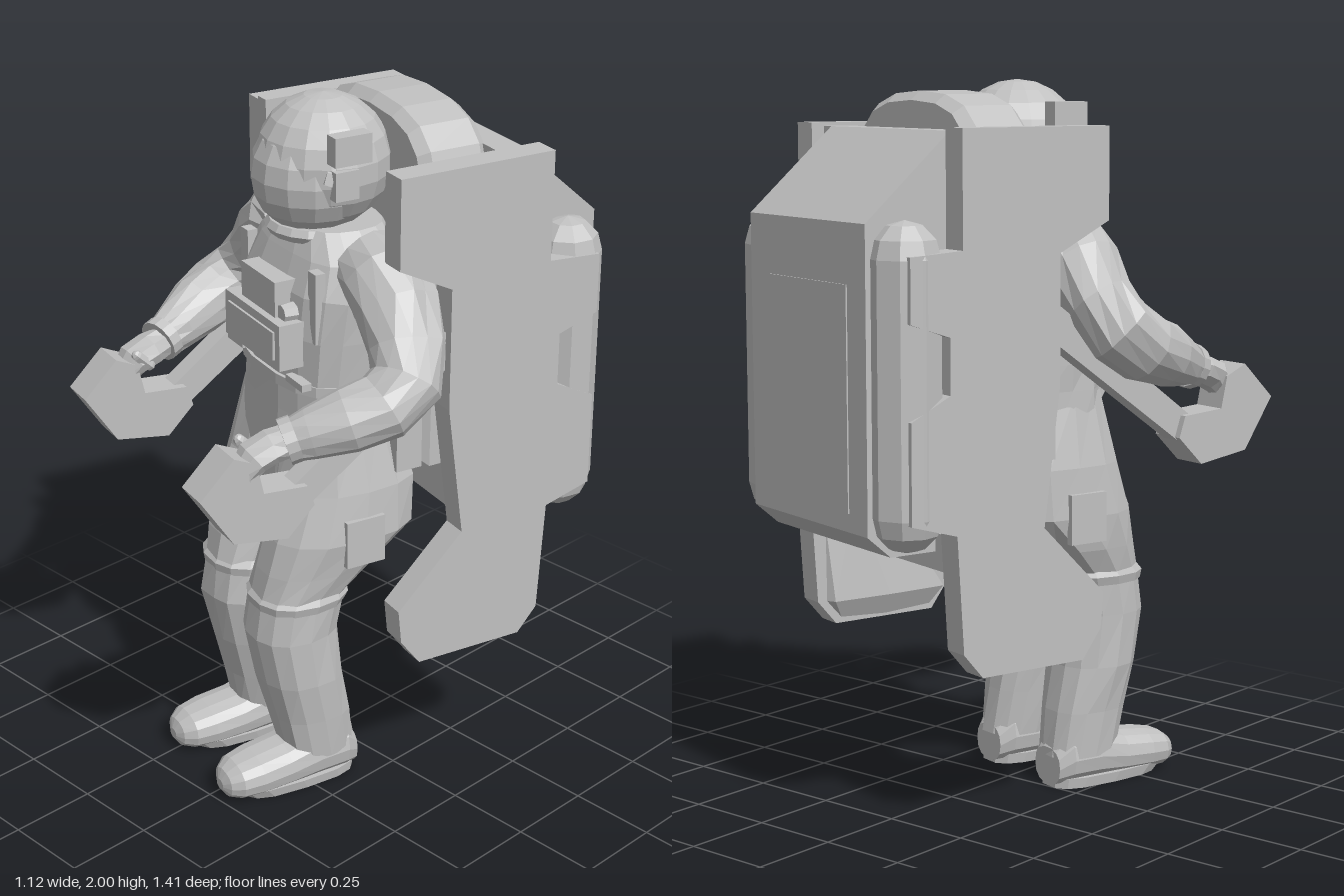
import * as THREE from 'three';

const suit = new THREE.MeshStandardMaterial({ color: 0xc0c0c0, flatShading: true });
suit.name = 'light grey';

// Small seeded generator for cloth wrinkles
let seed = 7;
const rnd = () => {
  seed = (seed * 16807) % 2147483647;
  return seed / 2147483647 - 0.5;
};

export function createModel() {
  const root = new THREE.Group();
  root.name = 'spacewalker';
  const body = new THREE.Group();
  body.name = 'suitedFigure';
  const pack = new THREE.Group();
  pack.name = 'flightUnit';
  root.add(body, pack);

  const add = (parent, name, geo, x = 0, y = 0, z = 0) => {
    const m = new THREE.Mesh(geo, suit);
    m.name = name;
    m.position.set(x, y, z);
    parent.add(m);
    return m;
  };
  const box = (parent, name, w, h, d, x, y, z) => add(parent, name, new THREE.BoxGeometry(w, h, d), x, y, z);

  // Loft rows of [x, y, z, halfWidth, halfDepth]; a fixed axis keeps the rings parallel
  function loft(rows, { axis = null, sides = 14, power = 1, wrinkle = 0 } = {}) {
    const pos = [], idx = [], n = rows.length;
    const c = rows.map(r => new THREE.Vector3(r[0], r[1], r[2]));
    rows.forEach((r, i) => {
      const t = axis ? axis.clone() : c[Math.min(i + 1, n - 1)].clone().sub(c[Math.max(i - 1, 0)]).normalize();
      const u = new THREE.Vector3(1, 0, 0).addScaledVector(t, -t.x).normalize();
      const v = t.clone().cross(u);
      for (let j = 0; j < sides; j++) {
        const a = (j / sides) * Math.PI * 2;
        const ca = Math.cos(a), sa = Math.sin(a);
        const k = 1 + wrinkle * rnd();
        const p = c[i].clone()
          .addScaledVector(u, Math.sign(ca) * Math.abs(ca) ** power * r[3] * k)
          .addScaledVector(v, Math.sign(sa) * Math.abs(sa) ** power * r[4] * k);
        pos.push(p.x, p.y, p.z);
      }
    });
    for (let i = 0; i < n - 1; i++) for (let j = 0; j < sides; j++) {
      const a = i * sides + j, b = i * sides + (j + 1) % sides;
      idx.push(a, b, b + sides, a, b + sides, a + sides);
    }
    const s = n * sides, last = (n - 1) * sides;
    pos.push(...c[0].toArray(), ...c[n - 1].toArray());
    for (let j = 0; j < sides; j++) {
      const k = (j + 1) % sides;
      idx.push(s, k, j, s + 1, last + j, last + k);
    }
    const g = new THREE.BufferGeometry();
    g.setAttribute('position', new THREE.Float32BufferAttribute(pos, 3));
    g.setIndex(idx);
    g.computeVertexNormals();
    return g;
  }

  // Side profile of [z, y] points extruded across x
  function plate(pts, xa, xb) {
    const x0 = Math.min(xa, xb), x1 = Math.max(xa, xb);
    const shape = new THREE.Shape(pts.map(p => new THREE.Vector2(p[0], p[1])));
    const g = new THREE.ExtrudeGeometry(shape, { depth: x1 - x0, bevelEnabled: false });
    return g.rotateY(-Math.PI / 2).translate(x1, 0, 0);
  }
  const up = new THREE.Vector3(0, 1, 0), down = new THREE.Vector3(0, -1, 0), ahead = new THREE.Vector3(0, 0, 1);

  // Torso and neck ring
  add(body, 'torso', loft([
    [0.01, 0.8, 0.08, 0.05, 0.12], [0.01, 0.88, 0.06, 0.2, 0.17], [0.01, 1.0, 0.06, 0.255, 0.17],
    [0.01, 1.15, 0.05, 0.25, 0.17], [0.01, 1.25, 0.05, 0.25, 0.17], [0.01, 1.38, 0.04, 0.265, 0.18],
    [0.01, 1.5, 0.03, 0.27, 0.175], [0.01, 1.59, 0.02, 0.24, 0.15], [0.01, 1.66, 0.02, 0.16, 0.12],
  ], { axis: up, sides: 18, power: 0.75, wrinkle: 0.04 }));
  add(body, 'neckRing', new THREE.TorusGeometry(0.125, 0.022, 6, 18).rotateX(Math.PI / 2), 0.005, 1.64, 0.05);
  add(body, 'waistRing', loft([[0.01, 1.225, 0.05, 0.255, 0.178], [0.01, 1.255, 0.05, 0.255, 0.178]], { axis: up, sides: 18, power: 0.75 }));

  // Helmet: outer shell, bulging visor and brow rim
  add(body, 'helmet', new THREE.SphereGeometry(0.185, 16, 11), 0.005, 1.815, 0.035);
  add(body, 'visor', new THREE.SphereGeometry(0.168, 14, 10), 0.005, 1.785, 0.07);
  add(body, 'visorRim', new THREE.TorusGeometry(0.162, 0.018, 5, 16, Math.PI).rotateX(-0.35), 0.005, 1.8, 0.11);

  // Chest control pack
  box(body, 'chestPack', 0.31, 0.13, 0.1, 0.02, 1.37, 0.215);
  box(body, 'chestPackUpper', 0.19, 0.1, 0.08, 0.02, 1.485, 0.205);
  box(body, 'chestPanel', 0.26, 0.08, 0.008, 0.02, 1.37, 0.268);
  add(body, 'hoseCoupling', new THREE.CylinderGeometry(0.025, 0.03, 0.05, 8).rotateX(Math.PI / 2), 0.13, 1.45, 0.21);

  for (const s of [1, -1]) {
    const side = s > 0 ? 'left' : 'right';
    const mir = rows => rows.map(r => [r[0] * s + 0.008, ...r.slice(1)]);

    // Helmet lamps and chest straps
    box(body, side + 'HelmetLamp', 0.045, 0.08, 0.11, s * 0.19, 1.9, 0.06);
    box(body, side + 'HelmetLampLower', 0.035, 0.08, 0.07, s * 0.18, 1.8, 0.07);
    box(body, side + 'ChestStrap', 0.04, 0.2, 0.03, 0.01 + s * 0.19, 1.48, 0.165);
    box(body, side + 'WaistClip', 0.09, 0.02, 0.03, 0.01 + s * 0.17, 1.265, 0.21);

    // Leg with knee band
    add(body, side + 'Leg', loft(mir([
      [0.12, 1.14, 0.06, 0.12, 0.14], [0.14, 0.94, 0.05, 0.145, 0.195], [0.146, 0.8, 0.07, 0.148, 0.225],
      [0.143, 0.7, 0.145, 0.135, 0.17], [0.136, 0.62, 0.2, 0.122, 0.132], [0.136, 0.5, 0.222, 0.122, 0.128],
      [0.14, 0.35, 0.2, 0.118, 0.12], [0.143, 0.22, 0.17, 0.104, 0.115], [0.146, 0.09, 0.145, 0.092, 0.11],
    ]), { axis: down, power: 0.85, wrinkle: 0.07 }));
    add(body, side + 'KneeBand', loft(mir([
      [0.136, 0.635, 0.195, 0.122, 0.13], [0.136, 0.615, 0.2, 0.132, 0.142], [0.136, 0.59, 0.205, 0.125, 0.133],
    ]), { axis: down, power: 0.85 }));
    box(body, side + 'HipPocket', 0.05, 0.17, 0.08, s * 0.255, 1.06, -0.08);
    box(body, side + 'ThighPocket', 0.02, 0.14, 0.12, 0.008 + s * 0.288, 0.8, 0.07);

    // Boot
    add(body, side + 'Boot', loft(mir([
      [0.147, 0.06, 0.04, 0.06, 0.055], [0.147, 0.085, 0.08, 0.085, 0.08], [0.147, 0.085, 0.17, 0.09, 0.08],
      [0.148, 0.07, 0.27, 0.09, 0.066], [0.15, 0.064, 0.36, 0.09, 0.06],
      [0.151, 0.058, 0.42, 0.078, 0.053], [0.152, 0.052, 0.452, 0.052, 0.038], [0.152, 0.048, 0.465, 0.02, 0.015],
    ]), { axis: ahead, power: 0.85 }));
    add(body, side + 'BootSole', loft(mir([
      [0.149, 0, 0.22, 0.08, 0.18], [0.149, 0.03, 0.235, 0.086, 0.195],
    ]), { axis: up, power: 0.65 }));

    // Arm, cuff and glove
    add(body, side + 'Arm', loft(mir([
      [0.18, 1.585, 0.015, 0.09, 0.1], [0.255, 1.56, 0.005, 0.118, 0.12], [0.33, 1.495, 0.005, 0.112, 0.112],
      [0.405, 1.41, 0.015, 0.102, 0.102], [0.46, 1.34, 0.05, 0.098, 0.098], [0.467, 1.29, 0.12, 0.094, 0.094],
      [0.442, 1.26, 0.21, 0.088, 0.088], [0.4, 1.23, 0.3, 0.07, 0.07], [0.375, 1.21, 0.36, 0.055, 0.055],
    ]), { wrinkle: 0.14 }));
    add(body, side + 'Cuff', loft(mir([
      [0.385, 1.22, 0.335, 0.064, 0.064], [0.375, 1.21, 0.365, 0.064, 0.064],
    ])));
    add(body, side + 'Glove', loft(mir([
      [0.375, 1.21, 0.35, 0.045, 0.045], [0.365, 1.2, 0.4, 0.055, 0.045],
      [0.36, 1.18, 0.45, 0.055, 0.045], [0.36, 1.14, 0.48, 0.045, 0.035], [0.36, 1.09, 0.48, 0.035, 0.025],
    ]), { sides: 9, wrinkle: 0.15 }));
    add(body, side + 'Thumb', new THREE.CapsuleGeometry(0.017, 0.05, 3, 6).rotateX(0.8), s * 0.31, 1.19, 0.44);

    // Side panel with upper flare, thruster notches and forward foot
    add(pack, side + 'SidePanel', plate([
      [0.04, 1.88], [-0.43, 1.88], [-0.43, 1.57], [-0.59, 1.56], [-0.59, 1.39], [-0.47, 1.35],
      [-0.47, 1.2], [-0.59, 1.14], [-0.59, 0.87], [-0.45, 0.83], [-0.43, 0.51], [-0.37, 0.44],
      [-0.04, 0.44], [0.02, 0.52], [0.03, 0.62], [-0.17, 0.82], [-0.12, 1.2], [-0.12, 1.55], [0.04, 1.63],
    ], 0.004 + s * 0.335, 0.004 + s * 0.412));
    // Inward thickening of the foot
    add(pack, side + 'PanelFoot', loft(mir([
      [0.37, 0.44, -0.2, 0.035, 0.16], [0.35, 0.51, -0.2, 0.05, 0.21], [0.365, 0.8, -0.3, 0.03, 0.12],
    ]), { axis: up, sides: 8, power: 0.35 }));

    // Arm beam and hand controller
    add(pack, side + 'ArmBeam', plate([
      [-0.15, 1.44], [-0.15, 1.33], [0.3, 1.01], [0.36, 1.01], [0.34, 1.08],
    ], s * 0.33, s * 0.39));
    add(pack, side + 'HandController', plate([
      [0.625, 1.11], [0.525, 1.21], [0.46, 1.18], [0.44, 1.09], [0.31, 1.08], [0.29, 1.02], [0.37, 0.94], [0.53, 0.965],
    ], s * 0.305, s * 0.41));

    // Propellant tank
    add(pack, side + 'Tank', new THREE.CapsuleGeometry(0.098, 0.67, 3, 9), 0.005 + s * 0.318, 1.215, -0.545);
  }

  // Main housing with sloped shoulder and tucked lower edge
  add(pack, 'housing', plate([
    [-0.31, 1.86], [-0.39, 1.87], [-0.65, 1.64], [-0.65, 0.83], [-0.58, 0.77], [-0.31, 0.77],
  ], -0.29, 0.3));
  box(pack, 'backCover', 0.4, 0.6, 0.008, 0, 1.18, -0.65);
  box(pack, 'topBar', 0.72, 0.06, 0.08, 0.005, 1.84, -0.35);
  box(pack, 'lowerBar', 0.7, 0.1, 0.12, 0, 0.77, -0.38);
  box(pack, 'rearFrame', 0.7, 0.72, 0.1, 0, 1.2, -0.4);

  // Arched life-support pack on the back
  const arch = new THREE.Shape();
  arch.moveTo(-0.265, 1.0);
  arch.lineTo(0.265, 1.0);
  arch.lineTo(0.275, 1.7);
  arch.bezierCurveTo(0.275, 1.88, 0.23, 1.945, 0, 1.945);
  arch.bezierCurveTo(-0.23, 1.945, -0.275, 1.88, -0.275, 1.7);
  arch.closePath();
  add(pack, 'lifeSupportPack', new THREE.ExtrudeGeometry(arch, {
    depth: 0.15, curveSegments: 5, bevelSize: 0.025, bevelThickness: 0.03, bevelSegments: 1,
  }), 0, 0, -0.29);

  // Whole figure is turned slightly to its right
  root.rotation.y = -0.262;
  return root;
}
